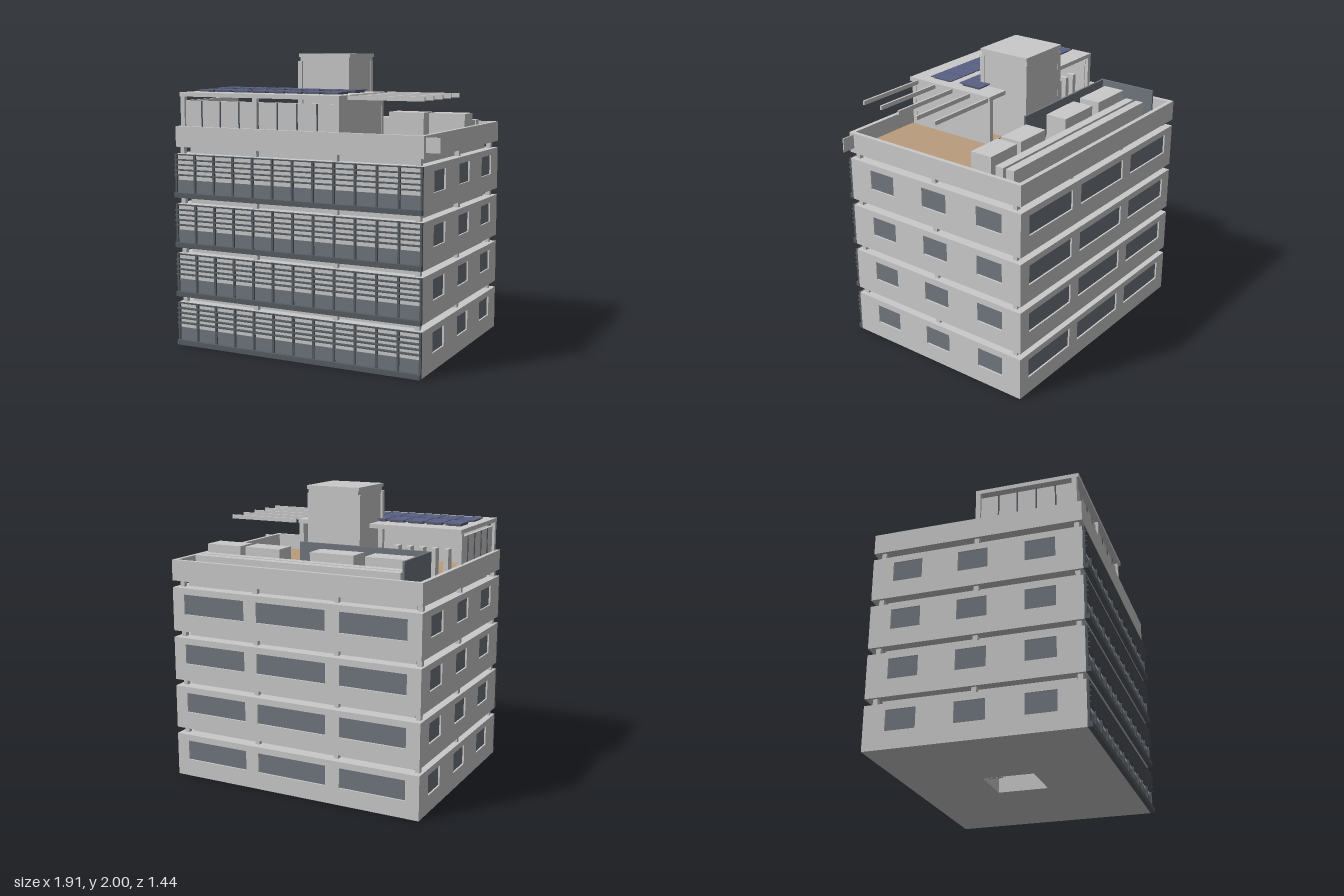
import * as THREE from 'three';

const mat = (name, color) => {
  const m = new THREE.MeshStandardMaterial({ color });
  m.name = name;
  return m;
};

export function createModel() {
  const concrete = mat('concrete', 0xcacaca);
  const glass = mat('greyGlass', 0x6f767e);
  const frame = mat('darkFrame', 0x565c62);
  const solar = mat('solarBlue', 0x5a6184);
  const deckWood = mat('deckWood', 0xba9c7d);

  const model = new THREE.Group();
  model.name = 'officeBuilding';
  const group = (name, parent = model) => {
    const g = new THREE.Group();
    g.name = name;
    parent.add(g);
    return g;
  };
  const add = (parent, name, geo, m) => {
    const mesh = new THREE.Mesh(geo, m);
    mesh.name = name;
    parent.add(mesh);
    return mesh;
  };
  // Box given by its limits on each axis
  const box = (parent, name, m, x0, x1, y0, y1, z0, z1) => {
    const mesh = add(parent, name, new THREE.BoxGeometry(x1 - x0, y1 - y0, z1 - z0), m);
    mesh.position.set((x0 + x1) / 2, (y0 + y1) / 2, (z0 + z1) / 2);
    return mesh;
  };
  const rect = (T, x0, x1, y0, y1) => {
    const p = new T();
    p.moveTo(x0, y0);
    p.lineTo(x1, y0);
    p.lineTo(x1, y1);
    p.lineTo(x0, y1);
    p.closePath();
    return p;
  };
  // Horizontal slab with a rectangular opening [x0, x1, z0, z1]
  const ring = (parent, name, m, x0, x1, y0, y1, z0, z1, h) => {
    const s = rect(THREE.Shape, x0, x1, -z1, -z0);
    s.holes.push(rect(THREE.Path, h[0], h[1], -h[3], -h[2]));
    const geo = new THREE.ExtrudeGeometry(s, { depth: y1 - y0, bevelEnabled: false });
    geo.rotateX(-Math.PI / 2);
    add(parent, name, geo, m).position.y = y0;
  };
  // Upright wall skin with window openings [a, b, bottom, top]
  const skin = (a, b, h, holes) => {
    const s = rect(THREE.Shape, a, b, 0, h);
    holes.forEach(o => s.holes.push(rect(THREE.Path, ...o)));
    return new THREE.ExtrudeGeometry(s, { depth: 0.015, bevelEnabled: false });
  };

  const X0 = -0.955, X1 = 0.86, Z0 = -0.72, Z1 = 0.69, T = 0.015;
  const shaft = [-0.25, 0.07, -0.19, 0.155];
  const columnX = [-0.92, -0.35, 0.245, 0.815];
  const columnZ = [0.65, -0.01, -0.655];
  const backWindows = [[-0.86, -0.395], [-0.295, 0.21], [0.305, 0.77]];
  const sideWindows = [[-0.575, -0.375], [-0.13, 0.07], [0.315, 0.515]];
  const opening = ([a, b]) => [a, b, 0.118, 0.255];

  for (let f = 0; f < 4; f++) {
    const y = f * 0.3435, H = 0.298;
    const storey = group('storey' + (f + 1));
    ring(storey, 'storeyBody', concrete, X0 + T, X1 - T, y, y + H, Z0 + T, Z1, shaft);

    // Back and side walls with recessed windows
    add(storey, 'backWall', skin(X0, X1, H, backWindows.map(opening)), concrete).position.set(0, y, Z0);
    for (const [a, b] of backWindows)
      box(storey, 'backWindow', glass, a, b, y + 0.118, y + 0.255, Z0 + T - 0.003, Z0 + T);
    for (const [face, px, wx] of [['right', X0 + T, X0 + T], ['left', X1, X1 - T]]) {
      const wall = add(storey, face + 'Wall', skin(Z0 + T, Z1, H, sideWindows.map(opening)), concrete);
      wall.rotation.y = -Math.PI / 2;
      wall.position.set(px, y, 0);
      for (const [a, b] of sideWindows)
        box(storey, face + 'Window', glass, wx - 0.003, wx + 0.003, y + 0.118, y + 0.255, a, b);
    }

    // Front facade: sill, spandrel glass, mullions and sun slats
    const facade = group('frontFacade', storey);
    box(facade, 'sill', frame, X0, X1, y, y + 0.033, Z1, 0.722);
    box(facade, 'spandrelGlass', glass, X0, X1, y + 0.033, y + 0.12, Z1, Z1 + 0.005);
    for (let i = 0; i < 13; i++) {
      const x = X0 + 0.007 + i * (X1 - X0 - 0.014) / 12;
      box(facade, 'mullion', frame, x - 0.007, x + 0.007, y + 0.033, y + H, Z1, 0.706);
    }
    for (let i = 0; i < 5; i++) {
      const sy = y + 0.155 + i * 0.0345;
      box(facade, 'sunSlat', frame, X0, X1, sy - 0.004, sy + 0.004, Z1, i < 4 ? 0.718 : 0.704);
    }

    // Recessed joint with columns above the storey
    const joint = group('recessedJoint', storey);
    const j0 = y + H, j1 = y + 0.3435 + (f === 3 ? 0.003 : 0);
    ring(joint, 'jointWall', concrete, X0 + 0.07, X1 - 0.07, j0, j1, Z0 + 0.09, Z1 - 0.07, shaft);
    for (const x of columnX) for (const z of columnZ)
      if (z !== -0.01 || Math.abs(x) > 0.5)
        box(joint, 'column', concrete, x - 0.016, x + 0.016, j0, j1, z - 0.016, z + 0.016);
  }

  // Roof deck and parapet
  const roof = group('roof');
  const D = 1.4;
  ring(roof, 'roofDeck', concrete, X0 + 0.03, X1 - 0.03, 1.375, D, Z0 + 0.03, Z1 - 0.03, shaft);
  ring(roof, 'parapet', concrete, X0, X1, 1.375, 1.515, Z0, Z1, [X0 + 0.03, X1 - 0.03, Z0 + 0.03, Z1 - 0.03]);
  box(roof, 'terraceFloor', deckWood, 0.275, 0.82, D, D + 0.008, -0.19, 0.66);
  box(roof, 'projectingPlate', concrete, X1 - 0.03, 0.953, 1.41, 1.505, 0.652, 0.66);

  // Stair and lift tower with a hollow shaft
  const tower = group('stairTower');
  ring(tower, 'towerWalls', concrete, -0.27, 0.1, D, 1.976, -0.2, 0.17, shaft);
  box(tower, 'towerCap', concrete, -0.28, 0.11, 1.976, 2, -0.205, 0.175);
  for (const x of [-0.268, 0.09]) for (const z of [-0.185, 0.168])
    box(tower, 'cornerPier', concrete, x - 0.016, x + 0.016, D, 1.95, z - 0.016, z + 0.016);
  for (let f = 0; f < 4; f++) for (let i = 0; i < 16; i++) {
    const up = i < 8, k = up ? i : 15 - i;
    const y = 0.02 + f * 0.3435 + i * 0.0215, x = -0.19 + k * 0.026;
    box(tower, 'stairStep', concrete, x, x + 0.026, y, y + 0.02, up ? -0.17 : -0.07, up ? -0.08 : 0.02);
  }

  // Penthouse, open at the back
  const house = group('penthouse');
  box(house, 'penthouseFloor', deckWood, -0.89, 0.25, D, D + 0.008, 0.0, 0.62);
  box(house, 'penthouseRoof', concrete, -0.93, 0.275, 1.715, 1.743, -0.027, 0.67);
  box(house, 'frontWall', concrete, -0.91, 0.25, D, 1.688, 0.62, 0.64);
  box(house, 'leftWall', concrete, 0.245, 0.265, D, 1.715, -0.01, 0.64);
  box(house, 'rightWall', concrete, -0.915, -0.895, D, 1.688, 0, 0.64);
  for (const x of [-0.917, -0.35, 0.252]) for (const z of [0.64, -0.008])
    box(house, 'penthouseColumn', concrete, x - 0.016, x + 0.016, D, 1.715, z - 0.016, z + 0.016);
  for (let i = 0; i < 7; i++) {
    const x = -0.77 + i * 0.146;
    box(house, 'frontMullion', frame, x - 0.004, x + 0.004, D, 1.688, 0.64, 0.646);
  }
  for (let i = 1; i < 5; i++) {
    const z = i * 0.128;
    box(house, 'sideMullion', frame, -0.921, -0.915, D, 1.688, z - 0.004, z + 0.004);
  }
  for (let i = 0; i < 5; i++) {
    const x = -0.82 + i * 0.09;
    box(house, 'screenFin', concrete, x, x + 0.035, D, 1.6, 0.03, 0.09);
  }

  // Solar panels in two rows
  for (const [z, y] of [[0.105, 1.757], [0.357, 1.752]]) for (let i = 0; i < 8; i++) {
    const x = -0.875 + i * 0.1362;
    box(house, 'solarPanel', solar, x, x + 0.127, y, y + 0.006, z, z + 0.18);
    box(house, 'panelRail', frame, x + 0.01, x + 0.117, 1.743, y, z + 0.02, z + 0.16);
  }

  // Pergola beams over the terrace
  const pergola = group('pergola');
  for (let i = 0; i < 5; i++) {
    const z = -0.023 + i * 0.151;
    box(pergola, 'pergolaBeam', concrete, 0.295, 0.818, 1.716, 1.744, z - 0.007, z + 0.007);
  }

  // Service yard: screen, plant boxes and ducts
  const yard = group('serviceYard');
  box(yard, 'longScreen', glass, -0.8, 0.152, D, 1.62, -0.23, -0.216);
  box(yard, 'shortScreen', glass, -0.8, -0.786, D, 1.62, -0.64, -0.23);
  for (const [a, b] of [[-0.75, -0.43], [-0.35, -0.03], [0.2, 0.465], [0.505, 0.768]])
    box(yard, 'plantBox', concrete, a, b, D, 1.59, -0.425, -0.27);
  for (const z of [-0.59, -0.51])
    box(yard, 'longDuct', concrete, -0.75, 0.757, D, 1.536, z, z + 0.06);

  return model;
}
